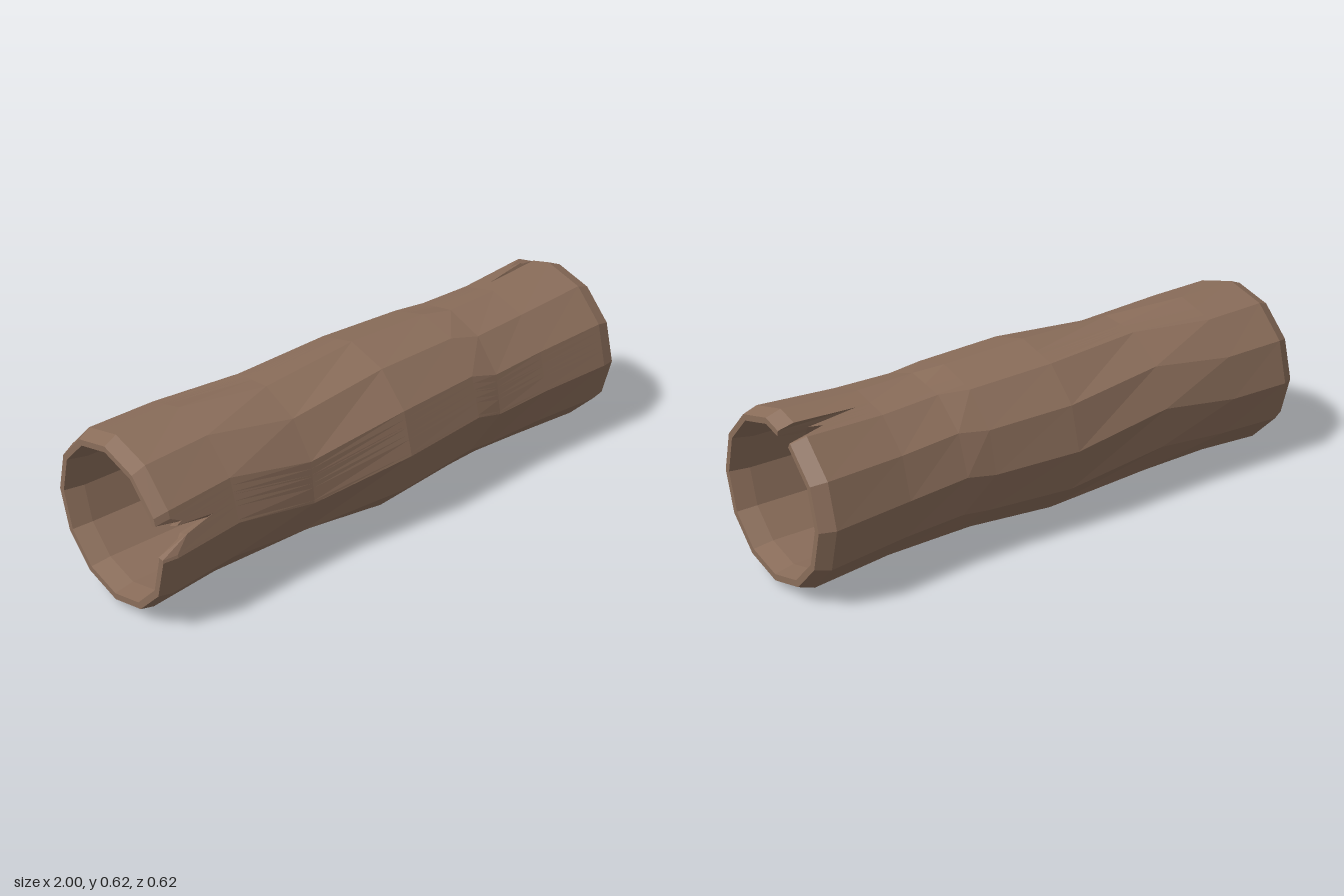
import * as THREE from 'three';

// Outer rings along the log: x, centre y, centre z, radius, twist in degrees
const RINGS = [
  [-1, 0.31, 0, 0.286, 0],
  [-0.95, 0.313, -0.008, 0.303, 0],
  [-0.7, 0.322, -0.016, 0.293, 1],
  [-0.39, 0.314, -0.015, 0.29, -9],
  [0, 0.31, 0, 0.308, 0],
  [0.33, 0.32, -0.002, 0.289, 1],
  [0.44, 0.315, -0.003, 0.284, -4],
  [0.66, 0.313, 0, 0.285, -1],
  [0.95, 0.313, -0.008, 0.303, 0],
  [1, 0.31, 0, 0.286, 0],
];

// Splintered notches: angle in degrees (from +z towards +y), x where the wood stops
const NOTCH_LEFT = [[105, 1], [106, 0.72], [109.5, 0.83], [112, 0.92], [114, 0.87], [119, 1]];
const NOTCH_RIGHT = [[2, -1], [11, -0.9], [14.5, -0.79], [19, -0.93], [20.5, -0.91], [25, -1]];

const lerp = THREE.MathUtils.lerp;

// Point on a 12-sided section; angles between corners lie on the flat side
function onPolygon(x, cy, cz, radius, angle, twist = 0) {
  const corner = Math.floor(angle / 30);
  const corners = [corner, corner + 1].map((k) => {
    const a = THREE.MathUtils.degToRad(k * 30 + twist);
    return new THREE.Vector3(x, cy + radius * Math.sin(a), cz + radius * Math.cos(a));
  });
  return corners[0].lerp(corners[1], angle / 30 - corner);
}

// Bark surface at any x, blended between neighbouring rings
function barkPoint(x, angle) {
  let i = 0;
  while (i < RINGS.length - 2 && x > RINGS[i + 1][0]) i++;
  const [a, b] = [RINGS[i], RINGS[i + 1]];
  const t = (x - a[0]) / (b[0] - a[0]);
  const [, cy, cz, r, twist] = a.map((v, k) => lerp(v, b[k], t));
  return onPolygon(x, cy, cz, r, angle, twist);
}

// How far the wood reaches at an angle, given a notch outline
function reach(notch, angle, end) {
  for (let i = 0; i < notch.length - 1; i++) {
    const [a, b] = [notch[i], notch[i + 1]];
    if (angle >= a[0] && angle <= b[0]) {
      return lerp(a[1], b[1], (angle - a[0]) / (b[0] - a[0]));
    }
  }
  return end;
}

// Lengthwise outline at one angle: partition, bore, rim, bark, rim, bore, partition
function outline(angle) {
  const hi = reach(NOTCH_LEFT, angle, 1);
  const lo = reach(NOTCH_RIGHT, angle, -1);
  const clamp = (x) => THREE.MathUtils.clamp(x, lo, hi);
  const bore = (x, r) => onPolygon(clamp(x), 0.311, 0, r, angle);
  const bark = RINGS.map((ring) => barkPoint(clamp(ring[0]), angle)).reverse();
  return [
    new THREE.Vector3(0.02, 0.311, 0), bore(0.02, 0.25), bore(0.93, 0.25), bore(1, 0.264),
    ...bark,
    bore(-1, 0.264), bore(-0.93, 0.25), bore(-0.02, 0.25), new THREE.Vector3(-0.02, 0.311, 0),
  ];
}

function logGeometry() {
  const angles = [];
  for (let a = 0; a < 360; a += 30) angles.push(a);
  for (const [a] of [...NOTCH_LEFT, ...NOTCH_RIGHT]) angles.push(a);
  angles.sort((a, b) => a - b);
  const columns = angles.map(outline);

  const positions = [];
  const addTriangle = (a, b, c) => {
    const area = b.clone().sub(a).cross(c.clone().sub(a)).length();
    if (area > 1e-7) for (const p of [a, b, c]) positions.push(p.x, p.y, p.z);
  };
  columns.forEach((col, i) => {
    const next = columns[(i + 1) % columns.length];
    for (let r = 0; r < col.length - 1; r++) {
      addTriangle(col[r], next[r], col[r + 1]);
      addTriangle(next[r], next[r + 1], col[r + 1]);
    }
  });
  const geometry = new THREE.BufferGeometry();
  geometry.setAttribute('position', new THREE.Float32BufferAttribute(positions, 3));
  geometry.computeVertexNormals();
  return geometry;
}

export function createModel() {
  const group = new THREE.Group();
  group.name = 'hollowLog';
  const wood = new THREE.MeshStandardMaterial({ color: 0x8a6d5a, flatShading: true });
  const log = new THREE.Mesh(logGeometry(), wood);
  log.name = 'logShell';
  group.add(log);
  return group;
}
